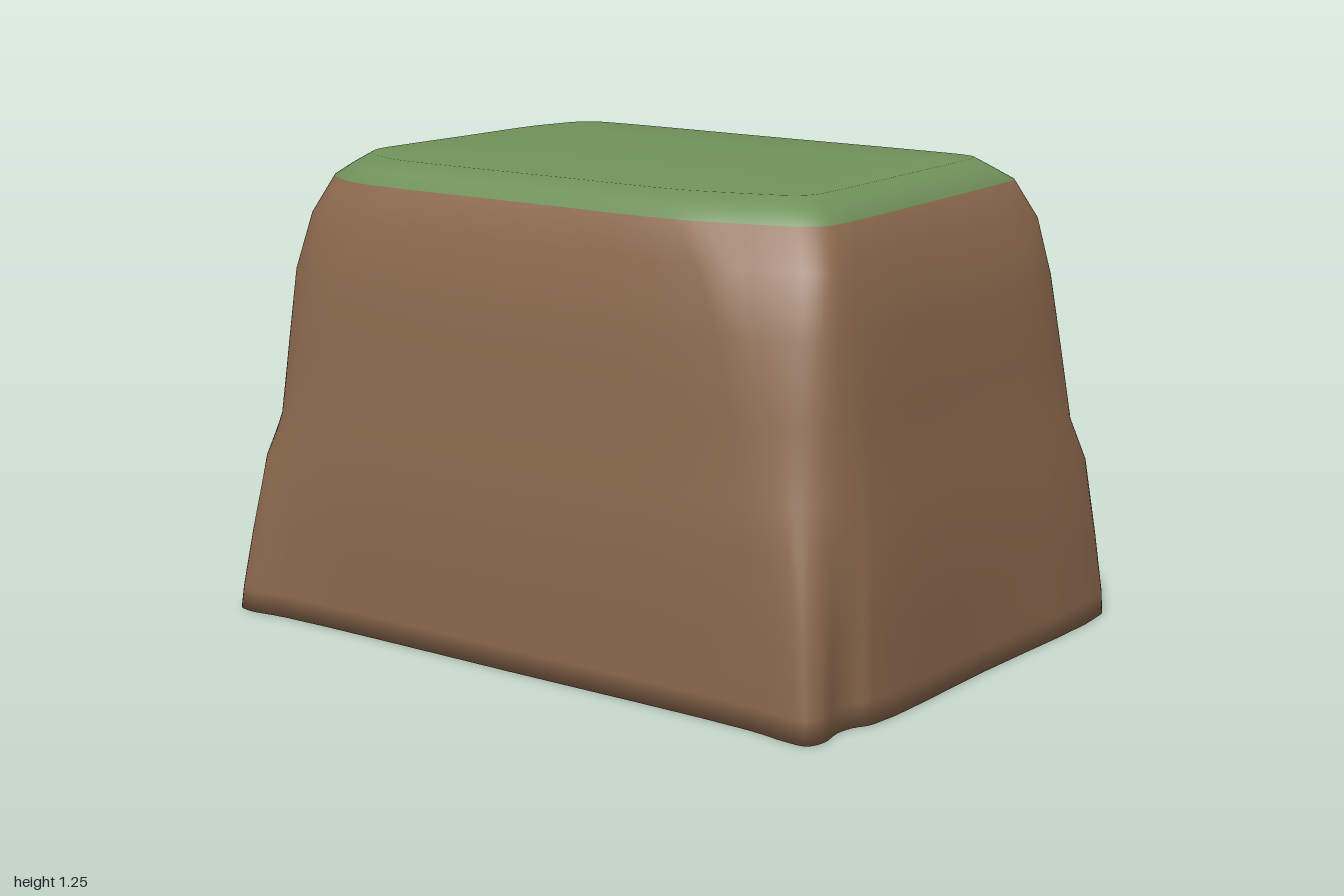
import * as THREE from 'three';

const STEPS = 4;

// Flared ground outline with pinched corners (x, z)
const BASE = [
  [-1, -0.62], [-0.98, -0.655], [-0.89, -0.67], [-0.81, -0.715], [-0.72, -0.73], [0, -0.735],
  [0.75, -0.73], [0.83, -0.71], [0.88, -0.675], [0.97, -0.66], [0.995, -0.62], [0.985, 0],
  [0.97, 0.5], [0.945, 0.55], [0.935, 0.6], [0.945, 0.68], [0.925, 0.722], [0.87, 0.725],
  [0.75, 0.71], [0, 0.71], [-0.78, 0.715], [-0.9, 0.728], [-0.95, 0.71], [-0.95, 0.66],
  [-0.935, 0.62], [-0.935, 0.56], [-0.96, 0.5], [-0.985, 0],
];

// Grass edge outline, point for point with the ground outline
const BROW = [
  [-0.79, -0.32], [-0.77, -0.42], [-0.745, -0.51], [-0.7, -0.55], [-0.64, -0.562], [0, -0.557],
  [0.62, -0.552], [0.69, -0.545], [0.73, -0.53], [0.75, -0.5], [0.757, -0.43], [0.778, 0],
  [0.79, 0.3], [0.79, 0.39], [0.78, 0.45], [0.74, 0.49], [0.68, 0.515], [0.58, 0.545],
  [0.43, 0.58], [0, 0.583], [-0.45, 0.585], [-0.57, 0.58], [-0.66, 0.555], [-0.72, 0.525],
  [-0.77, 0.48], [-0.8, 0.42], [-0.805, 0.3], [-0.797, 0],
];

// Sections: y, right x, left x, back z, front z, share of ground outline, share of grass outline;
// the remaining share is a plain rounded rectangle
const SECTIONS = [
  [0.015, -0.85, 0.845, -0.6, 0.59, 0.6, 0],
  [0.0, -1, 0.995, -0.735, 0.728, 1, 0],
  [0.06, -0.992, 0.993, -0.732, 0.727, 0.97, 0],
  [0.22, -0.975, 0.983, -0.717, 0.72, 0.7, 0],
  [0.43, -0.95, 0.965, -0.7, 0.71, 0.28, 0],
  [0.54, -0.918, 0.935, -0.672, 0.69, 0.06, 0.06],
  [0.74, -0.9, 0.91, -0.65, 0.672, 0, 0.15],
  [0.93, -0.885, 0.885, -0.625, 0.655, 0, 0.35],
  [1.08, -0.852, 0.85, -0.6, 0.626, 0, 0.65],
  [1.18, -0.805, 0.79, -0.562, 0.585, 0, 1],
  [1.21, -0.765, 0.75, -0.52, 0.55, 0, 1],
  [1.24, -0.72, 0.705, -0.48, 0.51, 0, 1],
  [1.25, -0.35, 0.35, -0.2, 0.2, 0, 1],
];
const GRASS_START = 9;

// Smooth closed outline, rescaled to the square from -1 to 1
function unitOutline(points) {
  const curve = new THREE.CatmullRomCurve3(
    points.map(([x, z]) => new THREE.Vector3(x, 0, z)), true, 'centripetal');
  const outline = curve.getPoints(points.length * STEPS).slice(0, -1);
  const { min, max } = new THREE.Box3().setFromPoints(outline);
  return outline.map((p) => [
    2 * (p.x - min.x) / (max.x - min.x) - 1, 2 * (p.z - min.z) / (max.z - min.z) - 1]);
}

// Pushes a point out along its own direction onto a rounded square
function toRounded([u, v]) {
  const r = Math.pow(Math.abs(u) ** 8 + Math.abs(v) ** 8, 1 / 8);
  return [u / r, v / r];
}

export function createModel() {
  const base = unitOutline(BASE), brow = unitOutline(BROW), plain = base.map(toRounded);
  const N = base.length;
  const ring = ([y, x0, x1, z0, z1, ground, grassy]) => base.flatMap((_, i) => {
    const [u, v] = [0, 1].map((k) =>
      ground * base[i][k] + grassy * brow[i][k] + (1 - ground - grassy) * plain[i][k]);
    return [(x0 + x1 + u * (x1 - x0)) / 2, y, (z0 + z1 + v * (z1 - z0)) / 2];
  });

  // Rings run from the underside, round the foot and up to the top
  const positions = SECTIONS.flatMap(ring);
  const bottom = SECTIONS.length * N, top = bottom + 1;
  positions.push(0, 0.015, 0, 0, 1.25, 0);

  const earthIndex = [], grassIndex = [];
  const last = (SECTIONS.length - 1) * N;
  for (let i = 0; i < N; i++) {
    const j = (i + 1) % N;
    for (let r = 0; r < SECTIONS.length - 1; r++) {
      const a = r * N + i, b = r * N + j;
      (r >= GRASS_START ? grassIndex : earthIndex).push(a, a + N, b, b, a + N, b + N);
    }
    earthIndex.push(bottom, i, j);
    grassIndex.push(top, last + j, last + i);
  }

  // Shared normals keep the shading smooth where earth meets grass
  const whole = new THREE.BufferGeometry();
  whole.setAttribute('position', new THREE.Float32BufferAttribute(positions, 3));
  whole.setIndex([...earthIndex, ...grassIndex]);
  whole.computeVertexNormals();

  const earth = new THREE.MeshStandardMaterial({ color: 0x8c694d });
  earth.name = 'earth brown';
  const grass = new THREE.MeshStandardMaterial({ color: 0x70925a });
  grass.name = 'grass green';

  const group = new THREE.Group();
  group.name = 'grassyMound';
  const addPart = (name, index, material) => {
    const geometry = new THREE.BufferGeometry();
    geometry.setAttribute('position', whole.getAttribute('position'));
    geometry.setAttribute('normal', whole.getAttribute('normal'));
    geometry.setIndex(index);
    const mesh = new THREE.Mesh(geometry, material);
    mesh.name = name;
    group.add(mesh);
  };
  addPart('earthBody', earthIndex, earth);
  addPart('grassTop', grassIndex, grass);
  return group;
}
